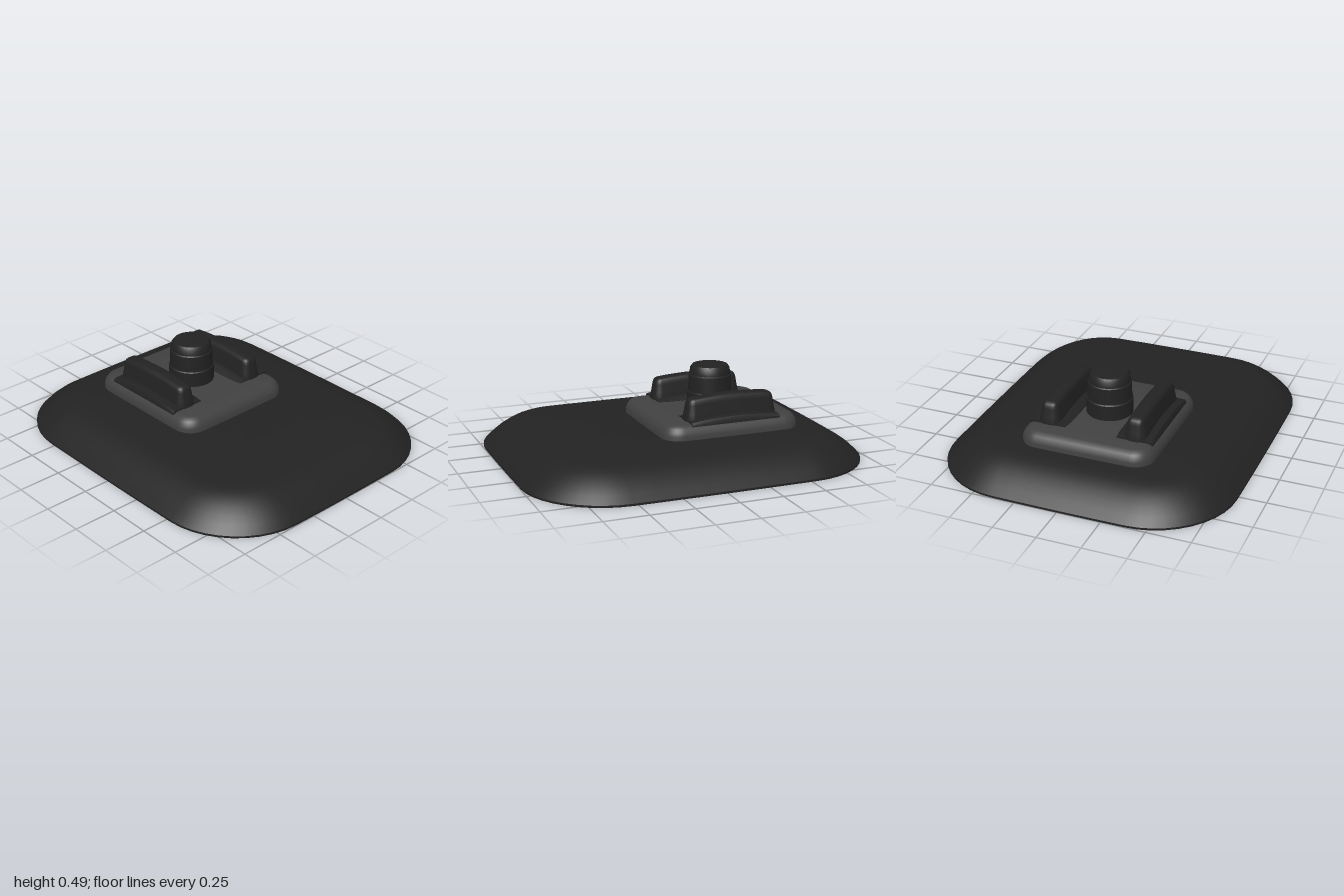
import * as THREE from 'three';
import { toCreasedNormals } from 'three/addons/utils/BufferGeometryUtils.js';

const dark = new THREE.MeshStandardMaterial({ color: 0x222222 });
const grey = new THREE.MeshStandardMaterial({ color: 0x404040 });

// Rounded rectangle in xz, with subdivided sides that bow out by a factor
function outline(hw, hd, r, bow) {
  const pts = [], arc = 10, side = 8;
  const corners = [[1, 1], [-1, 1], [-1, -1], [1, -1]];
  corners.forEach(([sx, sz], q) => {
    for (let i = 0; i <= arc; i++) {
      const a = (q + i / arc) * Math.PI / 2;
      pts.push([sx * (hw - r) + r * Math.cos(a), sz * (hd - r) + r * Math.sin(a)]);
    }
    const [nx, nz] = corners[(q + 1) % 4];
    const a = (q + 1) * Math.PI / 2;
    const end = [nx * (hw - r) + r * Math.cos(a), nz * (hd - r) + r * Math.sin(a)];
    const start = pts[pts.length - 1];
    for (let i = 1; i < side; i++) {
      pts.push([0, 1].map(k => start[k] + (end[k] - start[k]) * i / side));
    }
  });
  return pts.map(([x, z]) => [
    x * (1 - bow * (z / hd) ** 2),
    z * (1 - bow * (hw ? x / hw : 0) ** 2),
  ]);
}

// Stack of inset outlines [inset, y]; both ends close onto the centre line
function stack(hw, hd, r, bow, profile, warp = (y) => y) {
  const ring = (inset, y) =>
    outline(hw - inset, hd - inset, Math.max(r - inset, 0), bow).map(([x, z]) => [x, warp(y, z / hd), z]);
  const rows = [[hw, profile[0][1]], ...profile, [hw, profile[profile.length - 1][1]]].map(p => ring(...p));
  const n = rows[0].length, index = [];
  for (let j = 0; j < rows.length - 1; j++) {
    for (let i = 0; i < n; i++) {
      const a = j * n + i, b = j * n + (i + 1) % n;
      index.push(a, a + n, b, b, a + n, b + n);
    }
  }
  const g = new THREE.BufferGeometry();
  g.setAttribute('position', new THREE.Float32BufferAttribute(rows.flat(2), 3));
  g.setIndex(index);
  return toCreasedNormals(g, 0.6);
}

function add(parent, name, geometry, material, x = 0, z = 0) {
  const mesh = new THREE.Mesh(geometry, material);
  mesh.name = name;
  mesh.position.set(x, 0, z);
  parent.add(mesh);
  return mesh;
}

export function createModel() {
  const model = new THREE.Group();
  model.name = 'adhesiveMount';
  const cz = -0.26;

  // Broad pad with a domed rim
  add(model, 'basePad', stack(0.848, 1, 0.46, 0.014, [
    [0, 0], [0, 0.012], [0.04, 0.052], [0.08, 0.085], [0.12, 0.112],
    [0.16, 0.134], [0.2, 0.149], [0.24, 0.158], [0.29, 0.161],
  ]), dark);

  // Raised plate with a rounded upper edge
  add(model, 'plate', stack(0.387, 0.418, 0.11, 0.005, [
    [0, 0.15], [0, 0.185], [0.007, 0.205], [0.018, 0.222], [0.032, 0.235], [0.05, 0.241],
  ]), grey, 0, cz);

  // Stepped round post
  const post = [
    [0, 0.23], [0.132, 0.23], [0.132, 0.33], [0.126, 0.335], [0.124, 0.43],
    [0.118, 0.435], [0.116, 0.468], [0.103, 0.486], [0, 0.488],
  ].map(p => new THREE.Vector2(...p));
  add(model, 'post', toCreasedNormals(new THREE.LatheGeometry(post, 48), 0.6), dark, 0, cz);

  // Side rails: an arched foot under a tall rounded ridge
  const footShape = new THREE.Shape([
    [-0.111, 0.23], [0.111, 0.23], [0.11, 0.248], [0.1, 0.268], [0.06, 0.271],
    [-0.06, 0.271], [-0.085, 0.262], [-0.111, 0.245],
  ].map(p => new THREE.Vector2(...p)));
  for (const side of [1, -1]) {
    const rail = new THREE.Group();
    rail.name = side > 0 ? 'leftRail' : 'rightRail';
    rail.position.set(side * 0.254, 0, cz - 0.01);

    const foot = new THREE.ExtrudeGeometry(footShape, { depth: 0.54, steps: 10, bevelEnabled: false });
    foot.translate(0, 0, -0.27);
    const p = foot.attributes.position;
    for (let i = 0; i < p.count; i++) {
      const drop = 0.5 * (p.getZ(i) / 0.27) ** 2;
      p.setXY(i, p.getX(i) * side, 0.23 + (p.getY(i) - 0.23) * (1 - drop));
    }
    // Mirrored foot needs its triangles turned round
    if (side < 0) {
      for (let i = 0; i < p.count; i += 3) {
        const b = [p.getX(i + 1), p.getY(i + 1), p.getZ(i + 1)];
        p.setXYZ(i + 1, p.getX(i + 2), p.getY(i + 2), p.getZ(i + 2));
        p.setXYZ(i + 2, ...b);
      }
    }
    add(rail, 'railFoot', toCreasedNormals(foot, 0.6), dark);

    const arch = (y, u) => y - 0.018 * u * u * THREE.MathUtils.clamp((y - 0.25) / 0.1, 0, 1);
    add(rail, 'railRidge', stack(0.064, 0.278, 0.05, 0, [
      [0, 0.23], [0.002, 0.265], [0.007, 0.29], [0.015, 0.345], [0.018, 0.36],
      [0.024, 0.371], [0.033, 0.378], [0.045, 0.38],
    ], arch), dark);
    model.add(rail);
  }
  return model;
}
